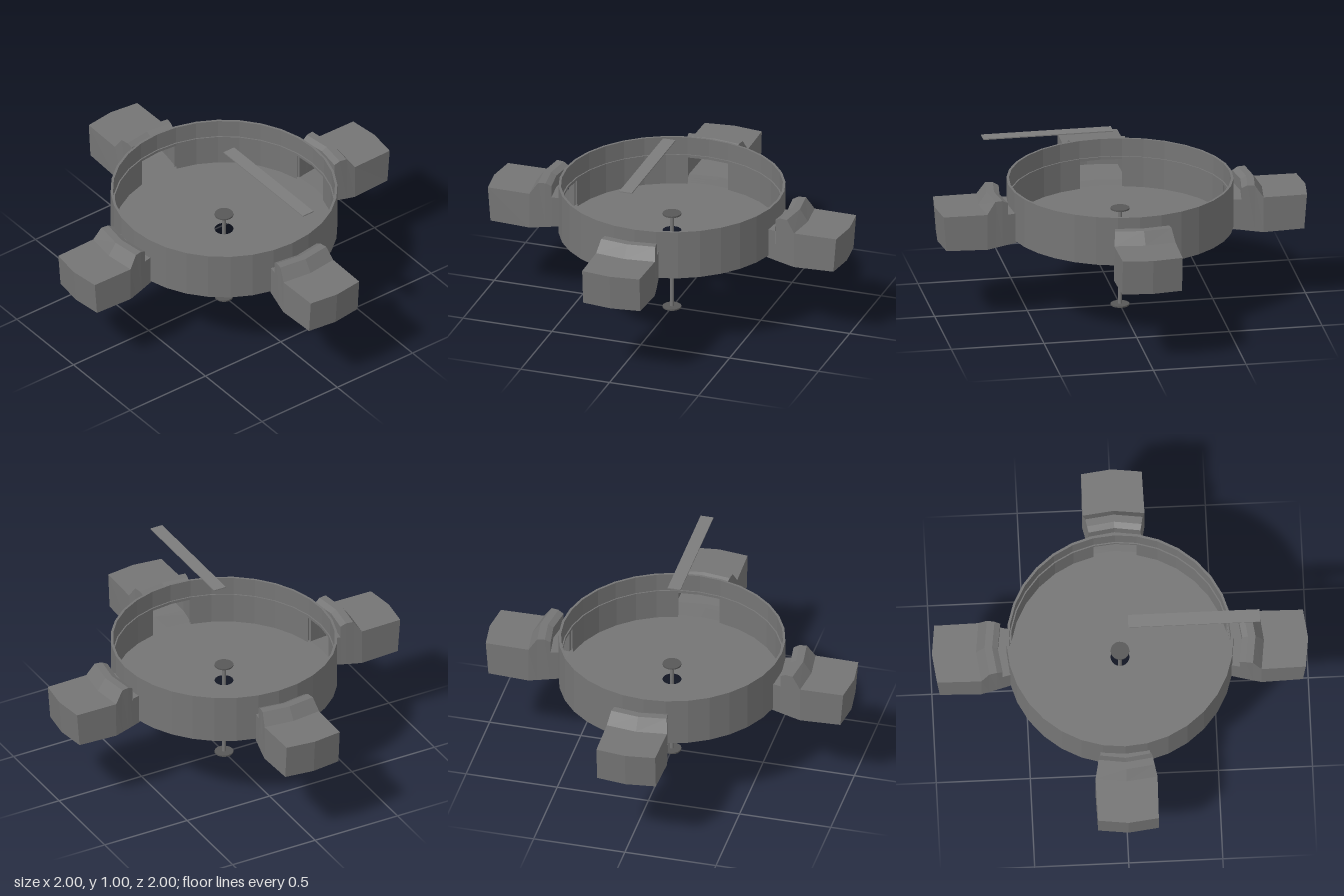
import * as THREE from 'three';

const material = (color) => new THREE.MeshStandardMaterial({ color, flatShading: true, side: THREE.DoubleSide });
const grey = material(0x757575);
const barGrey = material(0x7c7c7c);
const darkGrey = material(0x585858);

function add(parent, name, geo, mat = grey, y = 0, z = 0) {
  const m = new THREE.Mesh(geo, mat);
  m.name = name;
  m.position.set(0, y, z);
  parent.add(m);
  return m;
}

const pts = (list) => list.map(([r, y]) => new THREE.Vector2(r, y));

// Hollow arm along +z, open at the hub, lofted through sections
function armGeometry() {
  // [distance along top, along bottom, bottom y, top y, half width at bottom, half width at top]
  const sections = [
    [0.6, 0.6, 0.439, 0.605, 0.128, 0.128],
    [0.65, 0.65, 0.434, 0.605, 0.14, 0.14],
    [0.65, 0.65, 0.434, 0.67, 0.14, 0.138],
    [0.68, 0.68, 0.431, 0.686, 0.147, 0.145],
    [0.72, 0.72, 0.427, 0.686, 0.156, 0.152],
    [0.765, 0.765, 0.423, 0.62, 0.166, 0.165],
    [1, 0.985, 0.428, 0.62, 0.161, 0.161],
  ];
  // Each section is a loop of six points with the middle pushed outward
  const loops = sections.map(([rt, rb, yb, yt, wb, wt]) => [
    [-wb, yb, rb - 0.02], [0, yb, rb], [wb, yb, rb - 0.02],
    [wt, yt, rt - 0.02], [0, yt, rt], [-wt, yt, rt - 0.02],
  ]);
  const pos = [];
  const quad = (a, b, c, d) => pos.push(...a, ...b, ...c, ...a, ...c, ...d);
  for (let i = 0; i < loops.length - 1; i++) {
    for (let k = 0; k < 6; k++) {
      // The upright step only needs its top strips
      if (i === 1 && k !== 3 && k !== 4) continue;
      const n = (k + 1) % 6;
      quad(loops[i][k], loops[i][n], loops[i + 1][n], loops[i + 1][k]);
    }
  }
  const e = loops[loops.length - 1];
  quad(e[0], e[1], e[4], e[5]);
  quad(e[1], e[2], e[3], e[4]);
  const g = new THREE.BufferGeometry();
  g.setAttribute('position', new THREE.Float32BufferAttribute(pos, 3));
  g.computeVertexNormals();
  return g;
}

export function createModel() {
  const model = new THREE.Group();
  model.name = 'hubStation';

  // Hub: full upper wall, lower wall with a doorway at each arm
  const hub = new THREE.Group();
  hub.name = 'hub';
  model.add(hub);
  const step = Math.PI / 16;
  add(hub, 'upperWall', new THREE.LatheGeometry(pts([
    [0.603, 0.605], [0.603, 0.72], [0.59, 0.72], [0.59, 0.62], [0.583, 0.62], [0.583, 0.605], [0.603, 0.605],
  ]), 32));
  const lower = pts([[0.583, 0.605], [0.583, 0.45], [0.603, 0.45], [0.603, 0.605]]);
  for (let i = 0; i < 4; i++) {
    add(hub, 'lowerWall', new THREE.LatheGeometry(lower, 6, i * Math.PI / 2 + step, 6 * step));
  }

  // Floor with a central hole
  const floor = add(hub, 'floor', new THREE.RingGeometry(0.05, 0.6, 32, 1), grey, 0.451);
  floor.rotation.x = -Math.PI / 2;

  // Four arms
  const arm = armGeometry();
  for (let i = 0; i < 4; i++) {
    add(model, 'arm', arm).rotation.y = i * Math.PI / 2;
  }

  // Spindle with a disc at each end
  const spindle = new THREE.Group();
  spindle.name = 'spindle';
  model.add(spindle);
  add(spindle, 'rod', new THREE.CylinderGeometry(0.01, 0.01, 0.55, 12), grey, 0.275);
  for (const y of [0.004, 0.548]) {
    add(spindle, 'disc', new THREE.CylinderGeometry(0.05, 0.05, 0.008, 20), darkGrey, y);
  }

  // Thin floating bar
  add(model, 'bar', new THREE.BoxGeometry(0.07, 0.006, 0.7), barGrey, 1, 0.393);
  return model;
}
